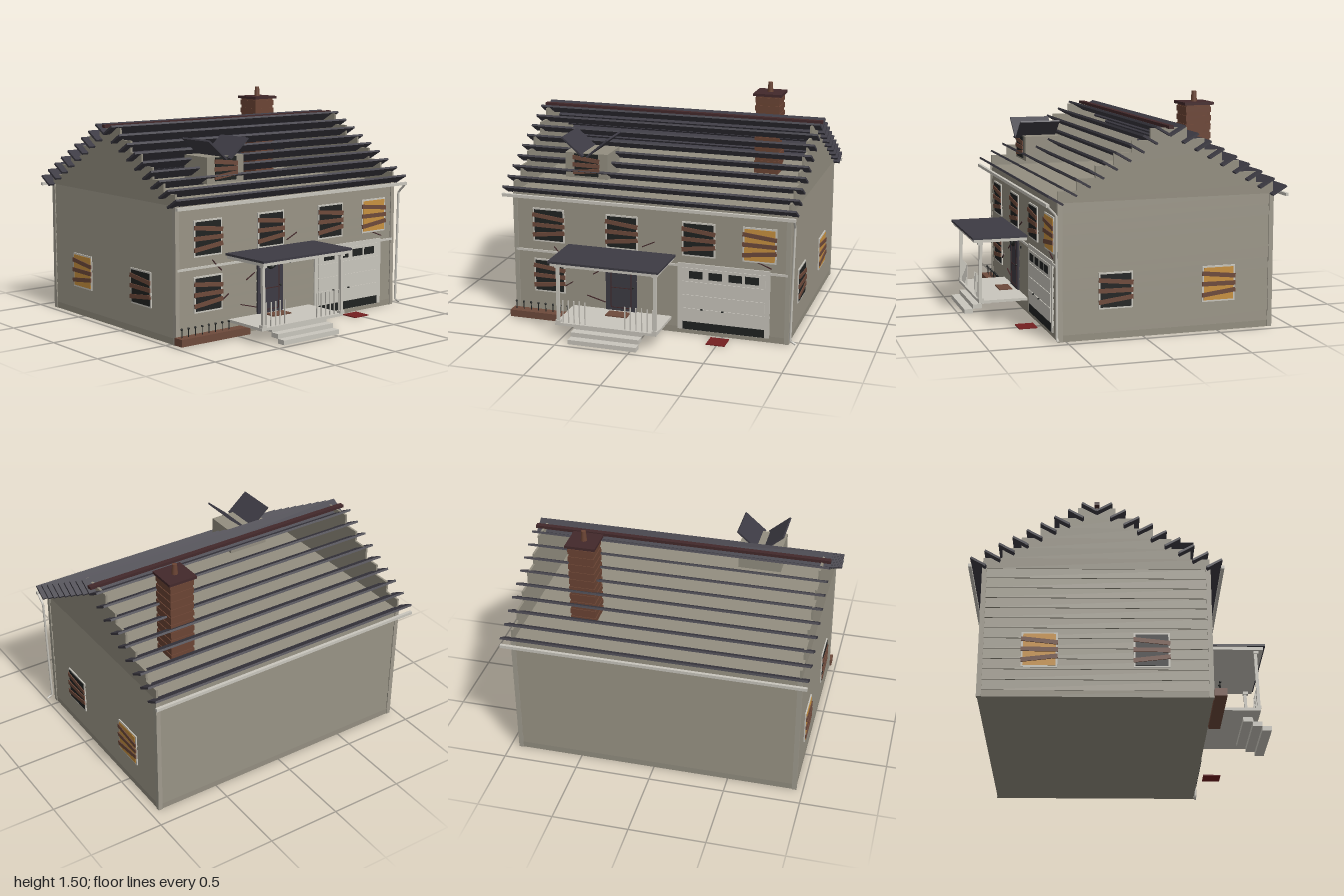
import * as THREE from 'three';

const mat = (name, color) => {
  const m = new THREE.MeshStandardMaterial({ color });
  m.name = name;
  return m;
};
const siding = mat('siding', 0x938e80);
const corner = mat('corner trim', 0xa09b8e);
const trim = mat('pale trim', 0xc9c6bd);
const roof = mat('roof slate', 0x3d3b44);
const wood = mat('brown wood', 0x6e4a3b);
const brick = mat('brick', 0x6b4434);
const ridge = mat('dark red brown', 0x43292b);
const dark = mat('dark glass', 0x202221);
const glow = mat('lit window', 0xc8913f);
const red = mat('red', 0x741f20);

const CX = -0.008, CZ = -0.162; // centre of the house body
const HX = 0.935, HZ = 0.7; // half size of the body
const FRONT = CZ + HZ + 0.014; // outer plane of the front siding

function add(parent, name, geo, material, x, y, z) {
  const m = new THREE.Mesh(geo, material);
  m.name = name;
  m.position.set(x, y, z);
  parent.add(m);
  return m;
}
const box = (p, name, material, w, h, d, x, y, z) =>
  add(p, name, new THREE.BoxGeometry(w, h, d), material, x, y, z);
// box given by its limits
const span = (p, name, material, x0, x1, y0, y1, z0, z1) =>
  box(p, name, material, x1 - x0, y1 - y0, z1 - z0, (x0 + x1) / 2, (y0 + y1) / 2, (z0 + z1) / 2);

function group(parent, name, x = 0, y = 0, z = 0, ry = 0) {
  const g = new THREE.Group();
  g.name = name;
  g.position.set(x, y, z);
  g.rotation.y = ry;
  parent.add(g);
  return g;
}

// boarded-up window facing +z
function boardedWindow(parent, pane, x, y, z, ry = 0, w = 0.2, h = 0.21, framed = true) {
  const g = group(parent, 'boardedWindow', x, y, z, ry);
  if (framed) box(g, 'windowFrame', trim, w + 0.022, h + 0.022, 0.008, 0, 0, 0);
  box(g, 'windowPane', pane, w, h, 0.008, 0, 0, 0.003);
  [-0.11, -0.01, 0.12].forEach((tilt, i) => {
    const b = box(g, 'windowBoard', wood, w * 1.13, 0.028, 0.008, 0, (1 - i) * h * 0.275, 0.009);
    b.rotation.z = tilt;
  });
}

// lapped boards covering one wall
function sidingWall(parent, width, x, z, ry) {
  const g = group(parent, 'sidingWall', x, 0, z, ry);
  const n = 12, pitch = 0.83 / n;
  for (let i = 0; i < n; i++) {
    const b = box(g, 'sidingBoard', siding, width, pitch, 0.008, 0, 0.042 + (i + 0.5) * pitch, 0.004);
    b.rotation.x = -0.1;
  }
}

function buildBody(root) {
  const g = group(root, 'houseBody');
  box(g, 'bodyCore', siding, HX * 2, 0.87, HZ * 2, CX, 0.435, CZ);
  box(g, 'foundation', siding, HX * 2 + 0.02, 0.042, HZ * 2 + 0.02, CX, 0.021, CZ);
  for (const s of [-1, 1]) {
    sidingWall(g, HX * 2, CX, CZ + s * HZ, s > 0 ? 0 : Math.PI);
    sidingWall(g, HZ * 2, CX + s * HX, CZ, s * Math.PI / 2);
    for (const t of [-1, 1])
      box(g, 'cornerPost', corner, 0.03, 0.87, 0.03, CX + s * HX, 0.435, CZ + t * HZ);
    // thin stepped gable
    for (let i = 0; i < 6; i++)
      box(g, 'gableStep', siding, 0.014, 0.0735, 2 * (0.71 - i * 0.118), CX + s * 0.938, 0.87 + (i + 0.5) * 0.0735, CZ);
    for (const [z, pane] of [[0.18, dark], [-0.505, glow]])
      boardedWindow(g, pane, CX + s * (HX + 0.013), 0.308, z, s * Math.PI / 2);
  }
  box(g, 'floorBand', trim, HX * 2, 0.015, 0.012, CX, 0.47, FRONT - 0.002);
  for (const [x, pane] of [[-0.705, dark], [-0.19, dark], [0.335, dark], [0.74, glow]])
    boardedWindow(g, pane, x, 0.655, FRONT);
  boardedWindow(g, dark, -0.705, 0.3, FRONT);
  // cracks in the front wall: x0, y0, x1, y1
  for (const [a, b, c, d] of [[-0.67, 0.51, -0.64, 0.475], [-0.635, 0.47, -0.595, 0.435],
    [-0.6, 0.235, -0.54, 0.275], [-0.395, 0.345, -0.325, 0.385], [-0.44, 0.19, -0.31, 0.155],
    [-0.05, 0.57, 0.035, 0.61], [0.73, 0.54, 0.82, 0.505]]) {
    const m = box(g, 'wallCrack', ridge, Math.hypot(c - a, d - b), 0.006, 0.006, (a + c) / 2, (b + d) / 2, FRONT);
    m.rotation.z = Math.atan2(d - b, c - a);
  }
}

function buildRoof(root) {
  const g = group(root, 'roof');
  for (const s of [-1, 1]) {
    // open slats tipped outward
    for (let i = 0; i < 9; i++) {
      const m = box(g, 'roofSlat', roof, 1.985, 0.014, 0.11, CX, 1.295 - i * 0.0502, CZ + s * (0.047 + i * 0.0863));
      m.rotation.x = -s * Math.PI / 6;
    }
    box(g, 'gutter', trim, 1.985, 0.02, 0.02, CX, 0.865, CZ + s * 0.788);
  }
  box(g, 'ridgeCap', ridge, 1.985, 0.02, 0.034, CX, 1.318, CZ);

  const path = new THREE.CurvePath();
  const pts = [[0.975, 0.86, 0.626], [0.97, 0.8, 0.568], [0.955, 0.035, 0.566], [0.992, 0.016, 0.566]]
    .map((p) => new THREE.Vector3(...p));
  for (let i = 0; i < 3; i++) path.add(new THREE.LineCurve3(pts[i], pts[i + 1]));
  add(g, 'downspout', new THREE.TubeGeometry(path, 40, 0.008, 8), trim, 0, 0, 0);

  const c = group(root, 'chimney', 0.55, 0, -0.475);
  box(c, 'chimneyStack', brick, 0.162, 0.56, 0.162, 0, 1.14, 0);
  for (let i = 0; i < 10; i++)
    box(c, 'brickCourse', brick, 0.172, 0.036, 0.172, 0, 0.885 + i * 0.056, 0);
  box(c, 'chimneyCap', ridge, 0.2, 0.018, 0.2, 0, 1.428, 0);
  add(c, 'chimneyPot', new THREE.CylinderGeometry(0.015, 0.021, 0.07, 12), brick, 0, 1.47, 0);
}

function buildDormer(root) {
  const g = group(root, 'dormer', -0.473, 0, 0);
  span(g, 'dormerBox', siding, -0.148, 0.148, 0.97, 1.14, 0.2, 0.437);
  boardedWindow(g, dark, 0, 1.06, 0.438, 0, 0.165, 0.15, false);
  for (const s of [-1, 1]) {
    const m = box(g, 'dormerRoofPanel', roof, 0.19, 0.012, 0.28, s * 0.086, 1.185, 0.335);
    m.rotation.z = s * 0.71;
  }
}

function buildPorch(root) {
  const g = group(root, 'porch');
  span(g, 'porchRoof', roof, -0.567, 0.18, 0.526, 0.54, 0.555, 0.925);
  span(g, 'porchFascia', trim, -0.555, 0.168, 0.504, 0.526, 0.555, 0.912);
  span(g, 'porchDeck', trim, -0.54, 0.15, 0.09, 0.108, 0.55, 0.882);
  for (const x of [-0.52, 0.14]) {
    const p = box(g, 'porchPost', trim, 0.02, 0.4, 0.02, x, 0.305, 0.868);
    p.rotation.x = -0.02;
    for (const y of [0.116, 0.495]) box(g, 'postBlock', trim, 0.034, 0.018, 0.034, x, y, 0.868);
  }
  for (const [x0, n] of [[-0.49, 5], [-0.065, 6]])
    for (let i = 0; i < n; i++)
      box(g, 'baluster', trim, 0.007, 0.155, 0.007, x0 + i * 0.038, 0.185, 0.865);
  for (let i = 0; i < 3; i++)
    span(g, 'porchStep', trim, -0.425, 0.04, i * 0.03, (i + 1) * 0.03, 0.9 - i * 0.06, 0.96 - i * 0.058);
  span(g, 'doormat', wood, -0.27, -0.12, 0.108, 0.115, 0.59, 0.68);

  // front door with panel beading and wreath
  const d = group(root, 'frontDoor', -0.197, 0, FRONT);
  span(d, 'doorLeaf', roof, -0.107, 0.107, 0.108, 0.492, -0.006, 0.008);
  for (const s of [-1, 1]) span(d, 'doorBeading', ridge, s * 0.07 - 0.003, s * 0.07 + 0.003, 0.13, 0.42, 0.006, 0.011);
  for (const y of [0.13, 0.27, 0.42]) box(d, 'doorBeading', ridge, 0.14, 0.005, 0.005, 0, y, 0.0085);
  add(d, 'wreath', new THREE.TorusGeometry(0.034, 0.011, 8, 24), dark, 0, 0.44, 0.014);
  add(d, 'doorKnob', new THREE.SphereGeometry(0.008, 10, 8), dark, 0.085, 0.28, 0.012);
  box(d, 'doorbell', dark, 0.012, 0.016, 0.008, 0.175, 0.42, 0);
}

function buildGarage(root) {
  const g = group(root, 'garageDoor', 0, 0, FRONT);
  span(g, 'garageFrame', trim, 0.195, 0.813, 0.03, 0.488, -0.008, 0.004);
  for (let i = 0; i < 4; i++)
    span(g, 'garagePanel', trim, 0.228, 0.782, 0.092 + i * 0.093, 0.18 + i * 0.093, 0, 0.009);
  span(g, 'garageGap', dark, 0.23, 0.78, 0.032, 0.086, 0, 0.007);
  for (const x of [0.32, 0.452, 0.585, 0.695]) box(g, 'garageWindow', dark, 0.09, 0.05, 0.006, x, 0.415, 0.009);
  for (const x of [0.36, 0.5]) box(g, 'garageHandle', dark, 0.014, 0.008, 0.008, x, 0.18, 0.012);
}

function buildYard(root) {
  const g = group(root, 'planter');
  span(g, 'planterBox', wood, -0.97, -0.425, 0.008, 0.055, 0.555, 0.63);
  for (let i = 0; i < 8; i++) {
    const x = -0.94 + i * 0.053;
    add(g, 'deadStem', new THREE.CylinderGeometry(0.003, 0.003, 0.06, 6), dark, x, 0.08, 0.59);
    add(g, 'deadBloom', new THREE.SphereGeometry(0.008, 8, 6), dark, x, 0.108, 0.59);
  }
  span(root, 'redMat', red, 0.43, 0.555, 0, 0.006, 0.585, 0.705);
}

export function createModel() {
  const root = new THREE.Group();
  root.name = 'abandonedHouse';
  buildBody(root);
  buildRoof(root);
  buildDormer(root);
  buildPorch(root);
  buildGarage(root);
  buildYard(root);
  return root;
}
